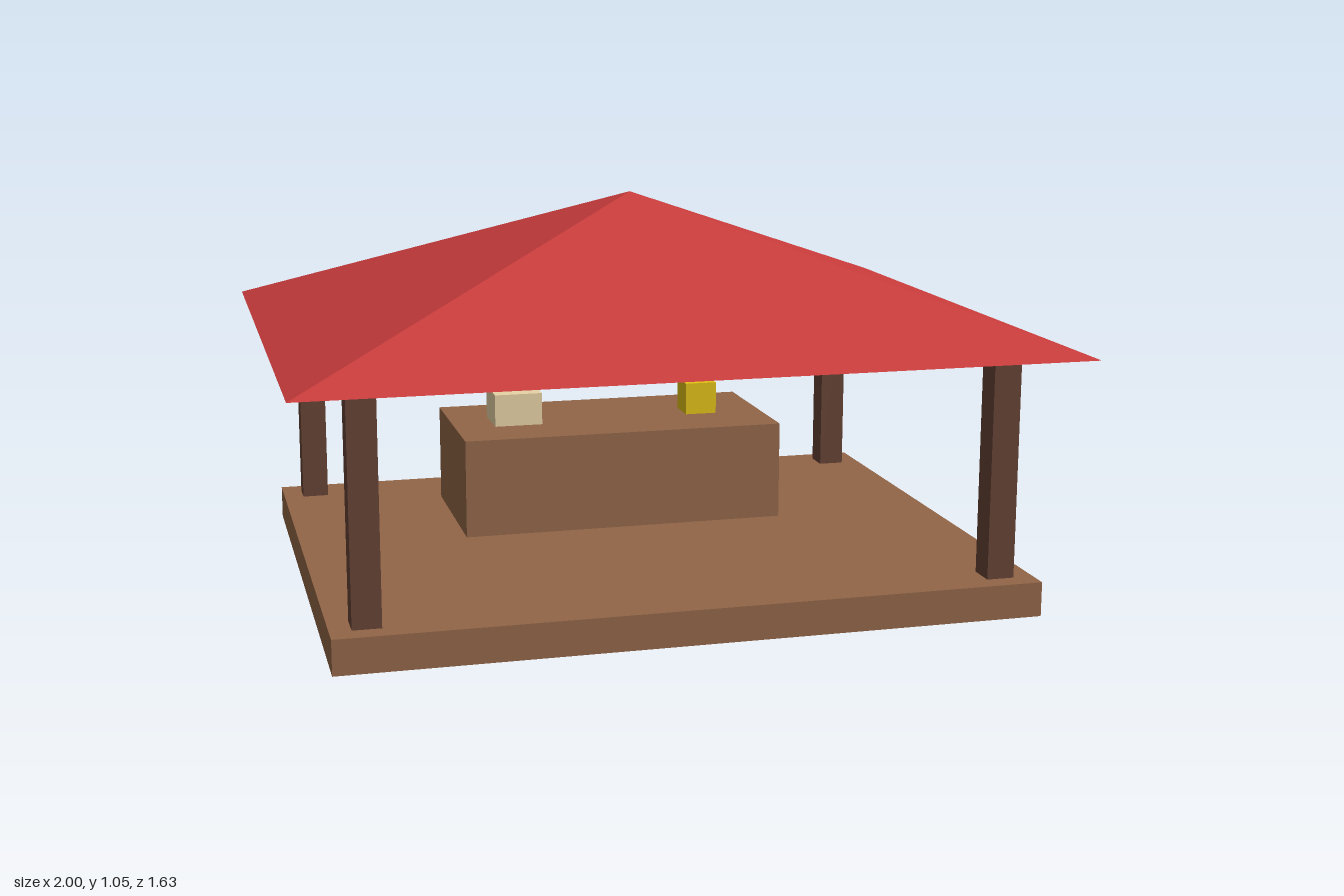
import * as THREE from 'three';

const material = (name, color) => {
  const m = new THREE.MeshStandardMaterial({ color });
  m.name = name;
  return m;
};

export function createModel() {
  const wood = material('wood', 0x936648);
  const darkWood = material('darkWood', 0x654234);
  const red = material('roofRed', 0xc83b3b);
  const yellow = material('yellow', 0xe2c014);
  const cream = material('cream', 0xe8d3a6);

  const model = new THREE.Group();
  model.name = 'marketStall';

  // Box standing on height y
  const addBox = (name, mat, [w, h, d], [x, y, z]) => {
    const mesh = new THREE.Mesh(new THREE.BoxGeometry(w, h, d), mat);
    mesh.name = name;
    mesh.position.set(x, y + h / 2, z);
    model.add(mesh);
  };

  // Floor platform and counter
  const floorTop = 0.091;
  const counterTop = 0.364;
  addBox('platform', wood, [1.818, floorTop, 1.455], [0, 0, 0]);
  addBox('counter', wood, [0.909, counterTop - floorTop, 0.455], [0, floorTop, -0.273]);

  // Goods on the counter
  addBox('creamBox', cream, [0.136, 0.091, 0.136], [-0.273, counterTop, -0.273]);
  addBox('yellowBox', yellow, [0.091, 0.091, 0.091], [0.273, counterTop, -0.273]);

  // Four corner posts, ending just below the roof
  for (const [side, sx] of [['left', 1], ['right', -1]]) {
    for (const [end, sz] of [['Front', 1], ['Back', -1]]) {
      addBox(`${side}${end}Post`, darkWood, [0.073, 0.582, 0.073], [sx * 0.818, floorTop, sz * 0.636]);
    }
  }

  // Pyramid roof with a flat underside
  const roofBase = 0.684;
  const roofHeight = 0.362;
  const roofGeometry = new THREE.ConeGeometry(Math.SQRT2, roofHeight, 4)
    .rotateY(Math.PI / 4)
    .scale(1, 1, 0.817)
    .toNonIndexed();
  roofGeometry.computeVertexNormals();
  const roof = new THREE.Mesh(roofGeometry, red);
  roof.name = 'roof';
  roof.position.y = roofBase + roofHeight / 2;
  model.add(roof);

  return model;
}
